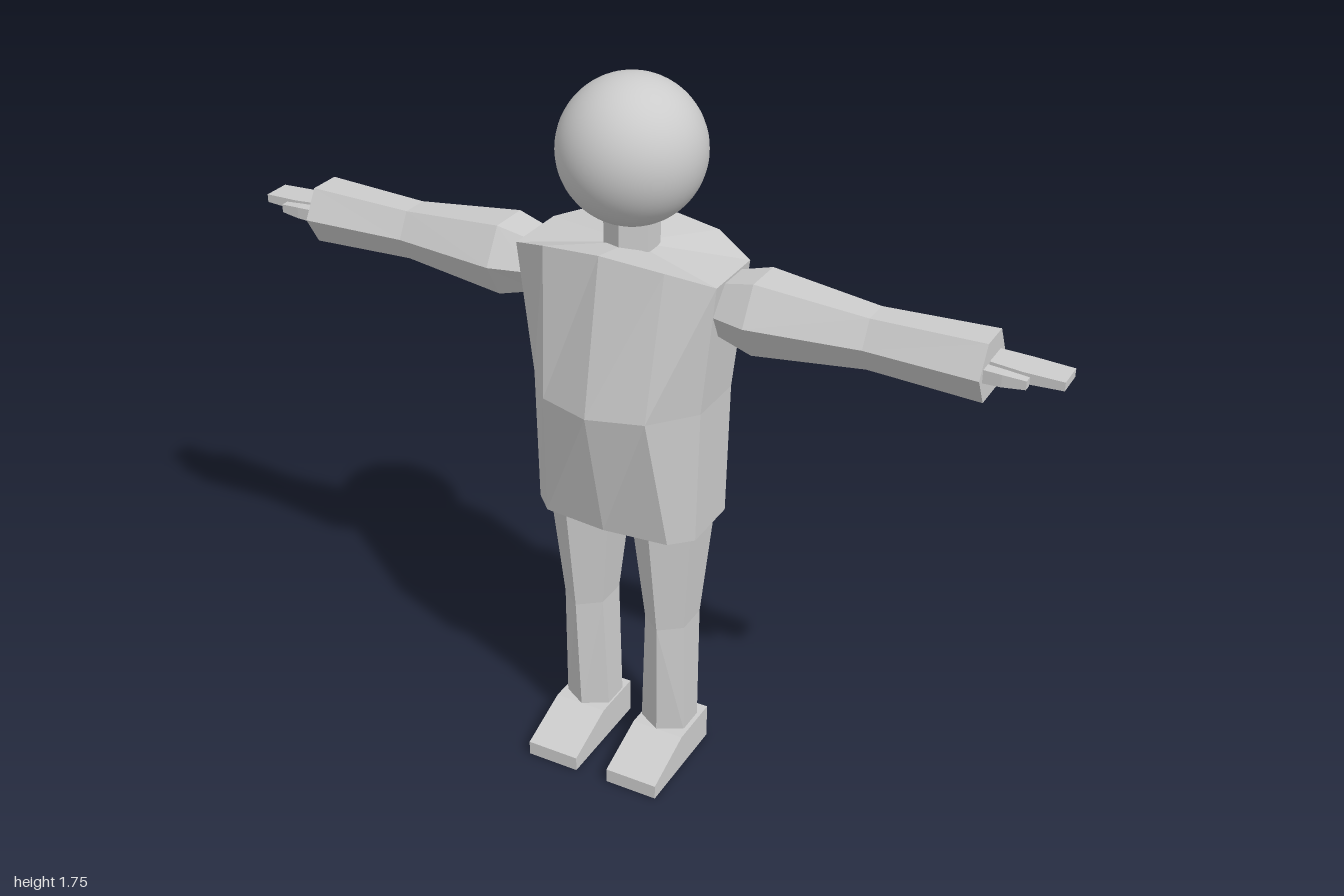
import * as THREE from 'three';

const grey = new THREE.MeshStandardMaterial({ color: 0xcccccc, flatShading: true });
const smooth = new THREE.MeshStandardMaterial({ color: 0xcccccc });

// Skin a list of equal-length rings and close both ends with fans
function loft(name, rings) {
  const tris = [];
  const n = rings[0].length;
  const mid = (r) => [0, 1, 2].map((k) => r.reduce((s, p) => s + p[k], 0) / n);
  const last = rings[rings.length - 1];
  const c0 = mid(rings[0]), c1 = mid(last);
  for (let i = 0; i < n; i++) {
    const j = (i + 1) % n;
    for (let k = 0; k + 1 < rings.length; k++) {
      const a = rings[k], b = rings[k + 1];
      tris.push([a[i], a[j], b[j]], [a[i], b[j], b[i]]);
    }
    tris.push([c0, rings[0][j], rings[0][i]], [c1, last[i], last[j]]);
  }
  // Turn the faces outward whichever way the rings run
  const v = (p) => new THREE.Vector3(...p);
  const volume = tris.reduce((s, [a, b, c]) => s + v(a).sub(v(c0)).dot(v(b).sub(v(c0)).cross(v(c).sub(v(c0)))), 0);
  if (volume < 0) tris.forEach((t) => t.reverse());
  const geo = new THREE.BufferGeometry();
  geo.setAttribute('position', new THREE.Float32BufferAttribute(tris.flat(2), 3));
  geo.computeVertexNormals();
  const mesh = new THREE.Mesh(geo, grey);
  mesh.name = name;
  return mesh;
}

// Six-sided outline with points at +-u and flat sides at +-v
const hex = (u, v) => [[u, 0], [u / 2, v], [-u / 2, v], [-u, 0], [-u / 2, -v], [u / 2, -v]];
const rect = (u0, u1, v0, v1) => [[u0, v0], [u1, v0], [u1, v1], [u0, v1]];

// Ten-sided torso ring: centre, chest and side corners
function torsoRing([yc, ya, ys], zc, xa, za, xs, zs) {
  const half = [[xa, ya, za], [xs, ys, zs], [xs, ys, -zs], [xa, ya, -za]];
  const other = half.map(([x, y, z]) => [-x, y, z]).reverse();
  return [[0, yc, zc], ...half, [0, yc, -zc], ...other];
}

function createLeg(s) {
  const leg = new THREE.Group();
  leg.name = s > 0 ? 'leftLeg' : 'rightLeg';
  // y, centre x, half depth, half width
  const limb = [[0.70, 0.11, 0.125, 0.08], [0.40, 0.112, 0.083, 0.053], [0.08, 0.107, 0.07, 0.06]];
  leg.add(loft('shin', limb.map(([y, x, u, v]) => hex(u, v).map(([z, dx]) => [s * (x + dx), y, z]))));
  // Wedge-shaped foot: z, top height
  const foot = [[-0.07, 0.09], [0.07, 0.09], [0.21, 0.037]];
  leg.add(loft('foot', foot.map(([z, h]) => rect(0.043, 0.178, 0, h).map(([x, y]) => [s * x, y, z]))));
  return leg;
}

function createArm(s) {
  const arm = new THREE.Group();
  arm.name = s > 0 ? 'leftArm' : 'rightArm';
  const cy = 1.267;
  // x, half depth, half height
  const sleeve = [[0.22, 0.075, 0.06], [0.32, 0.1, 0.085], [0.58, 0.067, 0.06], [0.84, 0.08, 0.068]];
  arm.add(loft('sleeve', sleeve.map(([x, u, v]) => hex(u, v).map(([z, y]) => [s * x, cy + y, z]))));
  // x, back z, front z, half height
  const slab = (name, rows) => arm.add(loft(name, rows.map(([x, z0, z1, h]) =>
    rect(z0, z1, -h, h).map(([z, y]) => [s * x, 1.27 + y, z]))));
  slab('hand', [[0.82, -0.045, 0.02, 0.018], [0.91, -0.05, 0.025, 0.013], [1.0, -0.047, 0.022, 0.01]]);
  slab('thumb', [[0.82, 0.03, 0.06, 0.016], [0.88, 0.034, 0.06, 0.014], [0.93, 0.035, 0.055, 0.01]]);
  return arm;
}

export function createModel() {
  const model = new THREE.Group();
  model.name = 'figure';

  const head = new THREE.Mesh(new THREE.SphereGeometry(0.167, 48, 32), smooth);
  head.name = 'head';
  head.position.y = 1.58;
  model.add(head);

  model.add(loft('neck', [1.34, 1.45].map((y) => hex(0.062, 0.055).map(([z, x]) => [x, y, z]))));

  // Coat, widest front to back at the waist
  model.add(loft('torso', [
    torsoRing([0.685, 0.685, 0.685], 0.14, 0.16, 0.125, 0.208, 0.077),
    torsoRing([1.02, 1.02, 1.02], 0.22, 0.13, 0.18, 0.215, 0.077),
    torsoRing([1.388, 1.372, 1.34], 0.15, 0.15, 0.132, 0.25, 0.082),
  ]));

  for (const s of [1, -1]) model.add(createLeg(s), createArm(s));
  return model;
}
